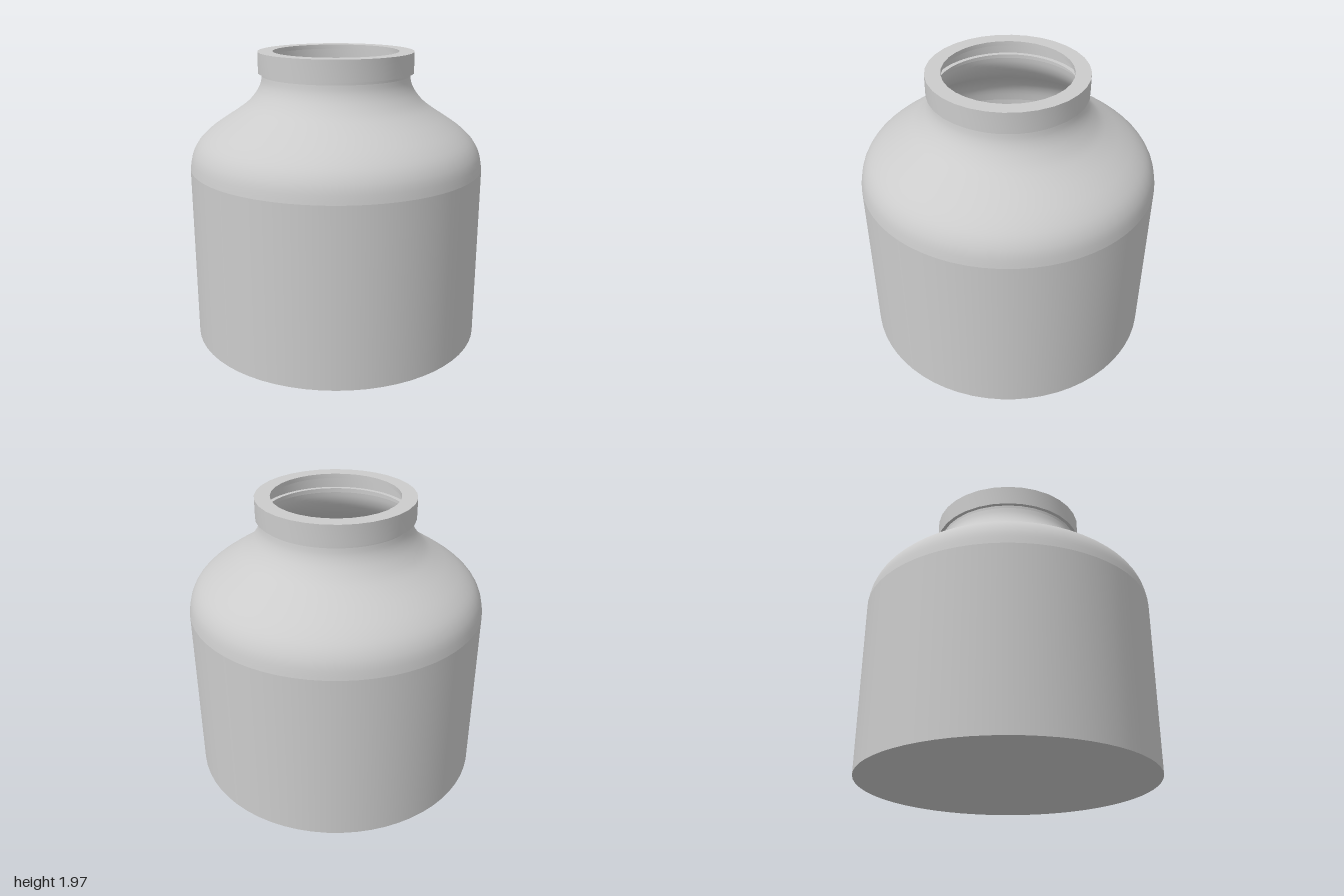
import * as THREE from 'three';
import { toCreasedNormals } from 'three/addons/utils/BufferGeometryUtils.js';

const SEGMENTS = 64;
const vectors = (pairs) => pairs.map(([r, y]) => new THREE.Vector2(r, y));

export function createModel() {
  const jar = new THREE.Group();
  jar.name = 'jar';
  const material = new THREE.MeshStandardMaterial({ color: 0xcccccc, side: THREE.DoubleSide });

  const add = (name, geometry) => {
    const mesh = new THREE.Mesh(geometry, material);
    mesh.name = name;
    jar.add(mesh);
    return mesh;
  };

  // Flat base and straight wall
  add('base', new THREE.CircleGeometry(1, SEGMENTS).rotateX(Math.PI / 2));
  add('wall', new THREE.CylinderGeometry(1, 1, 1.2, SEGMENTS, 1, true).translate(0, 0.6, 0));

  // Shoulder sweeping in to the neck
  const shoulder = new THREE.SplineCurve(vectors([
    [1, 1.2], [0.982, 1.29], [0.94, 1.37], [0.87, 1.44], [0.78, 1.505],
    [0.68, 1.57], [0.6, 1.63], [0.54, 1.7], [0.51, 1.76], [0.5, 1.81],
  ]));
  add('shoulder', new THREE.LatheGeometry(shoulder.getPoints(28), SEGMENTS));

  // Short neck with a narrow lip turned inward
  const neck = new THREE.LatheGeometry(vectors([[0.5, 1.81], [0.5, 1.85], [0.47, 1.85]]), SEGMENTS);
  add('neck', toCreasedNormals(neck, 0.6));

  // Collar: hollow ring with a flange on top overhanging the mouth
  const collar = new THREE.LatheGeometry(vectors([
    [0.502, 1.83], [0.527, 1.83], [0.527, 1.97], [0.425, 1.97],
    [0.425, 1.94], [0.502, 1.94], [0.502, 1.83],
  ]), 32);
  add('collar', toCreasedNormals(collar, 0.6));

  return jar;
}
